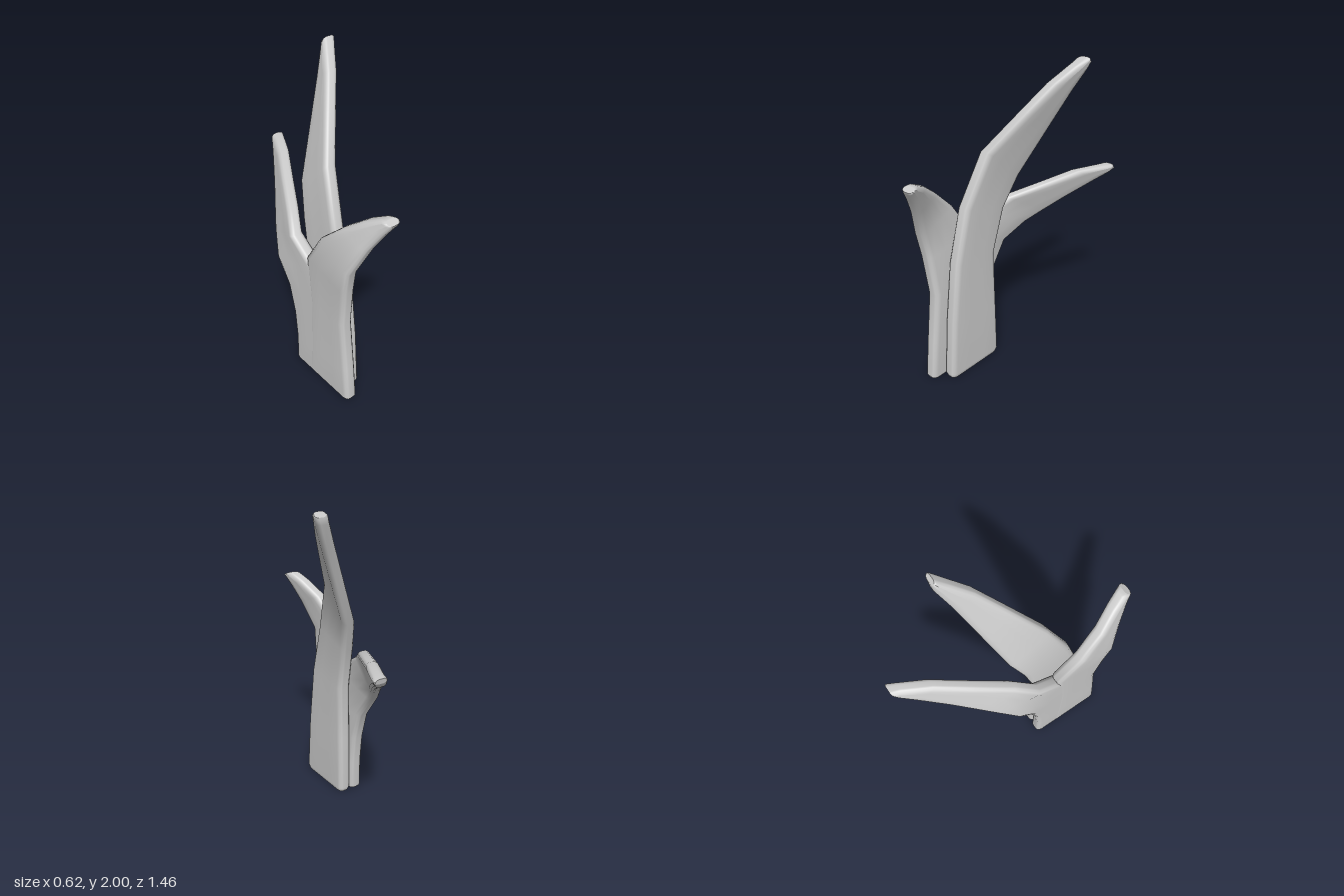
import * as THREE from 'three';

const HALF = 0.045;   // half thickness of every blade
const ROUND = 0.035;  // edge rounding

// Piecewise linear lookup through [t, x] stops.
function lookup(stops, t) {
  if (t <= stops[0][0]) return stops[0][1];
  for (let i = 1; i < stops.length; i++) {
    const [t0, x0] = stops[i - 1], [t1, x1] = stops[i];
    if (t <= t1) return x0 + (x1 - x0) * (t - t0) / (t1 - t0);
  }
  return stops[stops.length - 1][1];
}

// One cross-section: points [u across the blade, x], rounded at both edges.
function section(width, half) {
  const r = Math.min(ROUND, width * 0.4), e = r / width, s = half / HALF;
  const side = [];
  for (const a of [0, 0.4, 0.75, 1]) {
    const ang = a * Math.PI / 2;
    side.push([e * (1 - Math.sin(ang)), s * (HALF - ROUND * 0.85 * (1 - Math.cos(ang)))]);
  }
  const front = side.slice().reverse();            // edge -> flat
  const plus = [...front, [0.35, half], [0.65, half], ...side.map(([u, x]) => [1 - u, x])];
  const minus = plus.map(([u, x]) => [1 - u, -x]); // other face, walked back
  return [...plus, ...minus];
}

// Lofted blade. rows: [frontZ, frontY, backZ, backY]; lean: sideways bend
// driven by y + slope * z.
function blade(name, rows, slope, lean, material) {
  const pos = [], idx = [];
  // add slightly narrowed rows at both ends to soften the rims
  const inset = (a, b, k) => a.map((v, i) => v + (b[i] - v) * k);
  const n = rows.length;
  const all = [rows[0], inset(rows[0], rows[1], 0.07), ...rows.slice(1, n - 1),
    inset(rows[n - 1], rows[n - 2], 0.15), rows[n - 1]];
  all.forEach(([fz, fy, bz, by], i) => {
    const end = i === 0 || i === all.length - 1;
    const width = Math.hypot(bz - fz, by - fy);
    for (const [u0, x] of section(width, end ? HALF * 0.8 : HALF)) {
      const u = i === 0 ? 0.03 + u0 * 0.94 : u0;
      const z = fz + (bz - fz) * u, y = fy + (by - fy) * u;
      pos.push(x + lookup(lean, y + slope * z), y, z);
    }
  });
  const m = pos.length / 3 / all.length;
  for (let i = 0; i < all.length - 1; i++) {
    for (let j = 0; j < m; j++) {
      const a = i * m + j, b = i * m + (j + 1) % m;
      idx.push(a, b, b + m, a, b + m, a + m);
    }
  }
  // flat end caps with their own vertices
  for (const [row, top] of [[0, false], [all.length - 1, true]]) {
    const start = pos.length / 3, c = [0, 0, 0];
    for (let j = 0; j < m; j++) {
      for (let k = 0; k < 3; k++) {
        const v = pos[(row * m + j) * 3 + k];
        pos.push(v);
        c[k] += v / m;
      }
    }
    pos.push(...c);
    for (let j = 0; j < m; j++) {
      const a = start + j, b = start + (j + 1) % m;
      idx.push(start + m, top ? a : b, top ? b : a);
    }
  }
  const geo = new THREE.BufferGeometry();
  geo.setAttribute('position', new THREE.Float32BufferAttribute(pos, 3));
  geo.setIndex(idx);
  geo.computeVertexNormals();
  const mesh = new THREE.Mesh(geo, material);
  mesh.name = name;
  return mesh;
}

export function createModel() {
  const group = new THREE.Group();
  group.name = 'bladePlant';
  const mat = new THREE.MeshStandardMaterial({ color: 0xcccccc });

  // tall middle blade, leaning back and to +x
  group.add(blade('tallBlade', [
    [0.48, 0, 0.05, 0],
    [0.45, 0.4, 0.06, 0.4],
    [0.40, 0.8, 0.07, 0.77],
    [0.31, 1.14, 0.0, 1.06],
    [0.17, 1.47, -0.08, 1.26],
    [0.0, 1.7, -0.18, 1.58],
    [-0.12, 1.86, -0.25, 1.8],
    [-0.22, 1.95, -0.3, 1.93],
    [-0.28, 2.0, -0.3, 1.97],
  ], -1, [[0.8, -0.155], [1.25, -0.115], [2.28, 0.265]], mat));

  // short blade curling forward
  group.add(blade('frontBlade', [
    [0.565, 0, 0.19, 0],
    [0.54, 0.25, 0.2, 0.25],
    [0.5, 0.6, 0.2, 0.6],
    [0.53, 0.87, 0.17, 0.92],
    [0.56, 1.03, 0.31, 1.14],
    [0.63, 1.21, 0.46, 1.28],
    [0.69, 1.32, 0.58, 1.37],
    [0.725, 1.375, 0.66, 1.41],
    [0.73, 1.39, 0.69, 1.41],
  ], 1, [[1.1, -0.245], [1.59, -0.27], [2.12, -0.14]], mat));

  // short blade sweeping backward
  group.add(blade('backBlade', [
    [0.42, 0, 0.05, 0],
    [0.42, 0.2, 0.05, 0.2],
    [0.41, 0.4, 0.03, 0.4],
    [0.39, 0.58, -0.02, 0.59],
    [0.24, 0.85, -0.13, 0.75],
    [0.04, 0.99, -0.25, 0.86],
    [-0.09, 1.08, -0.35, 0.93],
    [-0.3, 1.14, -0.47, 1.01],
    [-0.5, 1.2, -0.62, 1.1],
    [-0.67, 1.21, -0.705, 1.15],
    [-0.73, 1.21, -0.725, 1.18],
  ], -1.5, [[0.95, -0.243], [1.25, -0.16], [1.875, 0.05], [2.27, 0.18]], mat));

  return group;
}
